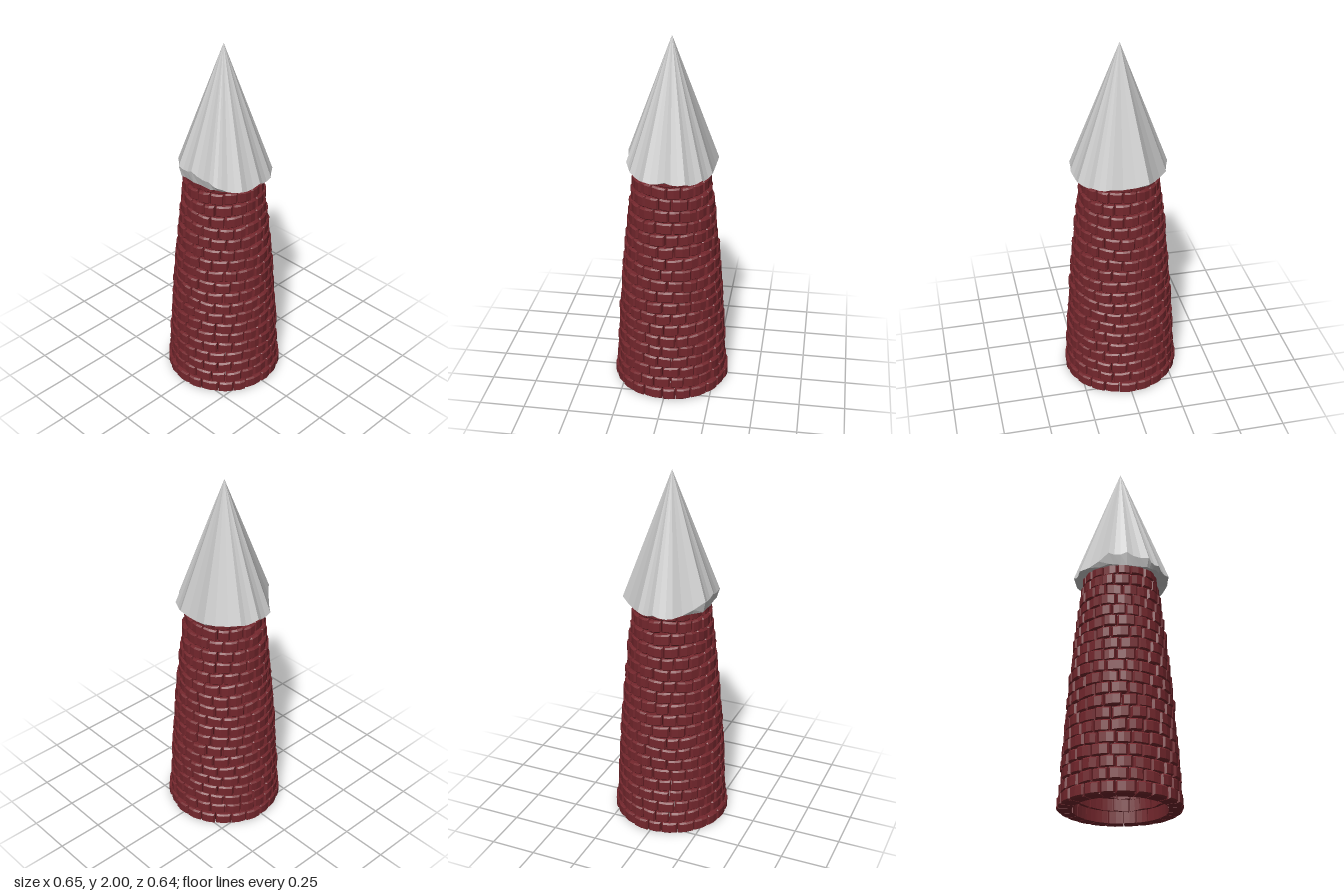
import * as THREE from 'three';
import { mergeGeometries } from 'three/addons/utils/BufferGeometryUtils.js';

const ROWS = 20, ROW_H = 0.0655, THICK = 0.075;

// Small seeded generator, returns -1..1
let seed = 7;
const jitter = () => {
  seed = (seed * 16807) % 2147483647;
  return (seed / 2147483647) * 2 - 1;
};

// Tower's outer radius at height y
const wallRadius = (y) => 0.312 - 0.03 * y - 0.043 * y * y;

// One worn brick: a box bent round the tower axis, with chamfered outer edges
function brick(a0, a1, y0, y1, rOut, row) {
  const g = new THREE.BoxGeometry(1, 1, 1, 4, 4, 1);
  const p = g.attributes.position;
  const push = jitter() * 0.004, tilt = jitter() * 0.004, lift = jitter() * 0.002;
  const gap = 0.008;
  for (let i = 0; i < p.count; i++) {
    let u = p.getX(i) * 2, v = p.getY(i) * 2;
    const outer = p.getZ(i) > 0;
    // slide the inner grid lines out towards the edges to form a narrow chamfer
    if (Math.abs(u) === 0.5) u *= 1.6;
    if (Math.abs(v) === 0.5) v *= 1.5;
    const edge = Math.max(Math.abs(u), Math.abs(v)) > 0.95;
    const a = THREE.MathUtils.lerp(a0 + gap, a1 - gap, (u + 1) / 2);
    const wave = row === 0 ? 0 : 0.004 * Math.sin(3 * a + row * 0.9);
    const y = THREE.MathUtils.lerp(y0, y1, (v + 1) / 2) + wave + (row ? tilt * u + lift : 0);
    let r = outer ? rOut + push - (edge ? 0.009 : 0) : rOut - THICK + push;
    if (outer) r -= 0.004 * u * u;
    p.setXYZ(i, r * Math.sin(a), Math.max(0, y), r * Math.cos(a));
  }
  return g.toNonIndexed();
}

// Stacked courses with staggered joints, fewer bricks towards the top
function buildWall() {
  const wall = new THREE.Group();
  wall.name = 'brickWall';
  const mat = new THREE.MeshStandardMaterial({ color: 0x74272d, flatShading: true });
  for (let row = 0; row < ROWS; row++) {
    const y0 = row * ROW_H, y1 = y0 + ROW_H - 0.001;
    const n = Math.round(22 - row * 0.3);
    const rOut = row === 0 ? 0.322 : wallRadius(y0 + ROW_H / 2) + 0.003;
    const step = (Math.PI * 2) / n;
    const start = (row % 2) * step * 0.5 + jitter() * 0.06;
    const joints = [];
    for (let i = 0; i < n; i++) joints.push(start + step * (i + jitter() * 0.13));
    joints.push(joints[0] + Math.PI * 2);
    const bricks = [];
    for (let i = 0; i < n; i++) bricks.push(brick(joints[i], joints[i + 1], y0, y1, rOut, row));
    const course = new THREE.Mesh(mergeGeometries(bricks), mat);
    course.name = 'brickCourse' + (row + 1);
    wall.add(course);
  }
  return wall;
}

// Pointed roof: uneven ridges [x, y, z] with a sagging scallop between each pair
function buildRoof() {
  const ridges = [
    [0, 1.30, 0.265], [0.105, 1.285, 0.245], [0.185, 1.285, 0.18], [0.228, 1.29, 0.09],
    [0.24, 1.305, -0.105], [0.095, 1.29, -0.23], [0, 1.30, -0.26], [-0.105, 1.29, -0.24],
    [-0.23, 1.35, -0.1], [-0.235, 1.36, 0.0], [-0.225, 1.34, 0.12], [-0.195, 1.31, 0.18],
    [-0.115, 1.29, 0.25],
  ].map((c) => new THREE.Vector3(...c));
  const rim = [];
  ridges.forEach((a, i) => {
    const b = ridges[(i + 1) % ridges.length];
    rim.push(a);
    for (const t of [0.3, 0.65]) {
      const m = a.clone().lerp(b, t);
      m.x *= 0.985;
      m.z *= 0.985;
      m.y -= 0.012;
      rim.push(m);
    }
  });
  const apex = new THREE.Vector3(0, 2, 0);
  // the rim tucks under the eaves and back to the wall
  const ring = (r, y) => rim.map((q) => {
    const s = r / Math.hypot(q.x, q.z);
    return new THREE.Vector3(q.x * s, y, q.z * s);
  });
  const lip = rim.map((q) => new THREE.Vector3(q.x * 0.94, Math.min(q.y, 1.295) - 0.006, q.z * 0.94));
  const inner = ring(0.175, 1.305);
  const slope = [], under = [];
  for (let i = 0; i < rim.length; i++) {
    const j = (i + 1) % rim.length;
    slope.push(apex, rim[i], rim[j]);
    for (const [up, low] of [[rim, lip], [lip, inner]]) {
      under.push(up[i], low[i], low[j], up[i], low[j], up[j]);
    }
  }
  const mat = new THREE.MeshStandardMaterial({ color: 0xcccccc, flatShading: true, side: THREE.DoubleSide });
  const roof = new THREE.Group();
  roof.name = 'roof';
  for (const [name, pts] of [['roofCone', slope], ['eaves', under]]) {
    const g = new THREE.BufferGeometry().setFromPoints(pts);
    g.computeVertexNormals();
    const mesh = new THREE.Mesh(g, mat);
    mesh.name = name;
    roof.add(mesh);
  }
  return roof;
}

export function createModel() {
  seed = 7;
  const tower = new THREE.Group();
  tower.name = 'tower';
  tower.add(buildWall(), buildRoof());
  return tower;
}
